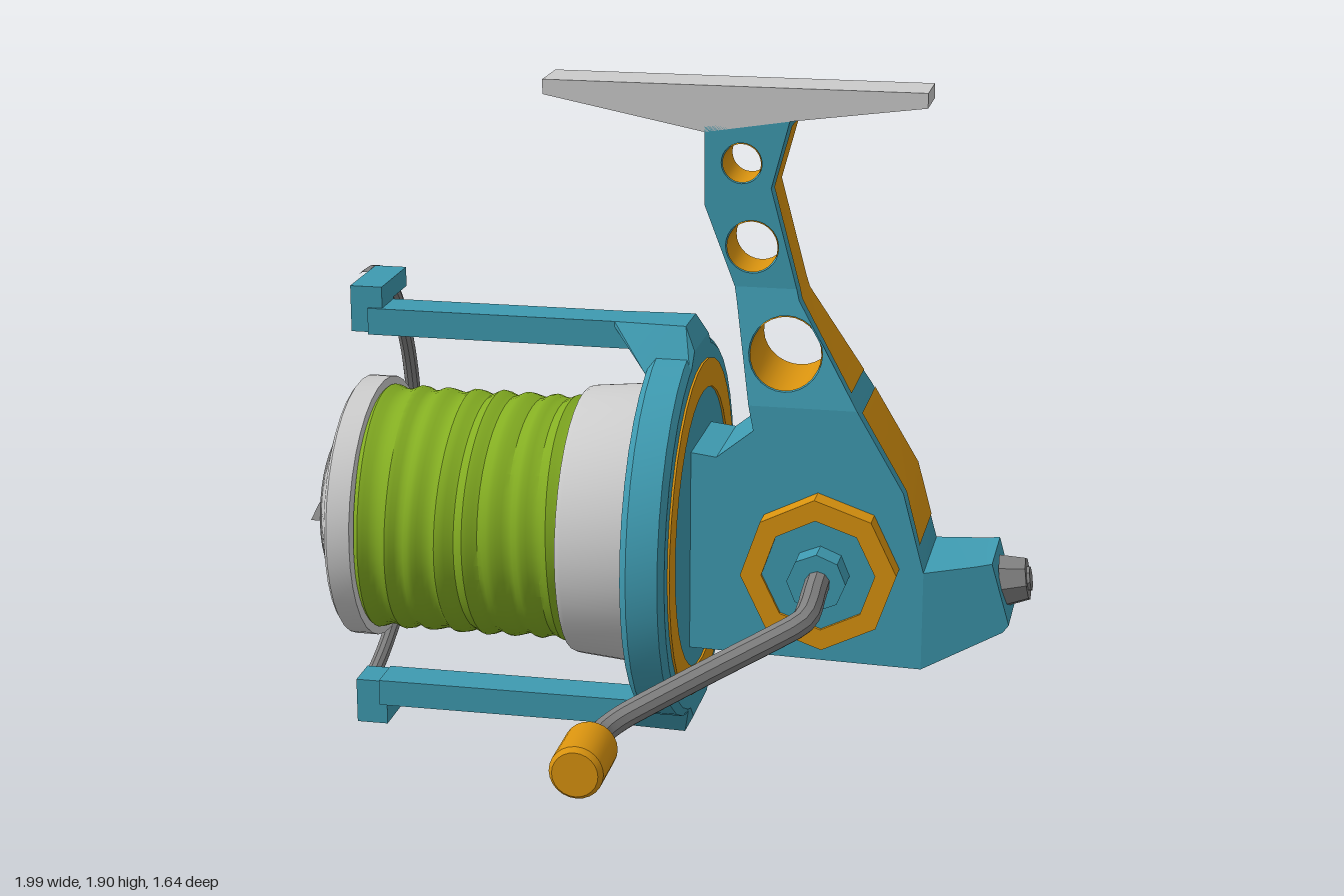
import * as THREE from 'three';
import { toCreasedNormals } from 'three/addons/utils/BufferGeometryUtils.js';
import { ConvexGeometry } from 'three/addons/geometries/ConvexGeometry.js';

const ZC = -0.142; // centre plane of the body
const YC = 0.65;   // height of the spool axis

const mat = (color) => new THREE.MeshStandardMaterial({ color });
const teal = mat(0x3e9ab0), orange = mat(0xd9930f), green = mat(0x84ae22);
const pale = mat(0xcccccc), steel = mat(0x808080);
const orangeThin = mat(0xd9930f);
orangeThin.side = THREE.DoubleSide;

// Half thickness of the body at a point of its side profile
function halfWidth(x, y) {
  const lerp = THREE.MathUtils.mapLinear;
  let w = 0.075;
  if (y < 1.05) w = lerp(y, 0.34, 1.05, 0.16, 0.145);
  else if (y < 1.36) w = lerp(y, 1.05, 1.36, 0.145, 0.075);
  return w - Math.max(0, x - 0.72) * 0.22;
}

// Spread z = -0.5 / 0.5 out to the body's side surfaces
function fitToBody(geo) {
  const p = geo.attributes.position;
  for (let i = 0; i < p.count; i++)
    p.setZ(i, ZC + Math.sign(p.getZ(i)) * halfWidth(p.getX(i), p.getY(i)));
  geo.computeVertexNormals();
  return geo;
}

function extrude(pts, depth, holes = []) {
  const shape = new THREE.Shape(pts.map((p) => new THREE.Vector2(...p)));
  for (const [x, y, r] of holes) {
    const path = new THREE.Path();
    path.absarc(x, y, r, 0, Math.PI * 2, true);
    shape.holes.push(path);
  }
  return new THREE.ExtrudeGeometry(shape, { depth, bevelEnabled: false, curveSegments: 14 })
    .translate(0, 0, -depth / 2);
}

// Revolved part around the spool axis, profile as [x, radius] with x rising
function turned(profile, segments = 36) {
  return new THREE.LatheGeometry(profile.map(([x, r]) => new THREE.Vector2(r, x)), segments)
    .rotateZ(-Math.PI / 2).translate(0, YC, ZC);
}

function tube(pts, r, segments, tension = 0.5) {
  const curve = new THREE.CatmullRomCurve3(pts.map((p) => new THREE.Vector3(...p)), false, 'catmullrom', tension);
  return new THREE.TubeGeometry(curve, segments, r, 10);
}

const box = (x0, x1, y0, y1, z0, z1) => new THREE.BoxGeometry(x1 - x0, Math.abs(y1 - y0), z1 - z0)
  .translate((x0 + x1) / 2, (y0 + y1) / 2, (z0 + z1) / 2);

// Ribbon lying on the rear edge of the stem
function rearPanel(edge, inset) {
  const pos = [], index = [];
  edge.forEach(([x, y], i) => {
    const w = halfWidth(x, y) - inset;
    pos.push(x + 0.006, y + 0.003, ZC - w, x + 0.006, y + 0.003, ZC + w);
    if (i) index.push(2 * i - 2, 2 * i - 1, 2 * i, 2 * i, 2 * i - 1, 2 * i + 1);
  });
  const geo = new THREE.BufferGeometry();
  geo.setAttribute('position', new THREE.Float32BufferAttribute(pos, 3));
  geo.setIndex(index);
  geo.computeVertexNormals();
  return geo;
}

export function createModel() {
  const model = new THREE.Group();
  const add = (name, geo, material, crease = 0.6) => {
    const mesh = new THREE.Mesh(toCreasedNormals(geo, crease), material);
    mesh.name = name;
    model.add(mesh);
    return mesh;
  };

  // Mounting foot
  add('foot', extrude([[-0.34, 1.9], [-0.34, 1.86], [0.1, 1.775], [0.33, 1.812], [0.69, 1.86], [0.69, 1.9]], 0.15)
    .translate(0, 0, ZC), pale);

  // Body, tail and stem
  const holes = [[0.2, 1.695, 0.055], [0.23, 1.47, 0.072], [0.33, 1.19, 0.1]];
  add('body', fitToBody(extrude([[0.07, 0.35], [0.72, 0.335], [0.72, 0.61], [0.66, 0.83], [0.53, 1.05],
    [0.236, 1.05], [0.25, 0.98], [0.15, 0.9], [0.07, 0.91]], 1)), teal, 0.3);
  add('tail', fitToBody(extrude([[0.72, 0.335], [0.935, 0.44], [0.95, 0.46], [0.9, 0.635], [0.86, 0.628],
    [0.72, 0.61]], 1)), teal, 0.3);
  add('lowerStem', fitToBody(extrude([[0.236, 1.05], [0.53, 1.05], [0.36, 1.33], [0.352, 1.36], [0.184, 1.36],
    [0.19, 1.33]], 1, holes.slice(2))), teal, 0.3);
  add('upperStem', fitToBody(extrude([[0.184, 1.36], [0.352, 1.36], [0.28, 1.63], [0.33, 1.82], [0.1, 1.79],
    [0.1, 1.58]], 1, holes.slice(0, 2))), teal, 0.3);
  for (const [x, y, r] of holes) {
    add('holeLining', fitToBody(new THREE.CylinderGeometry(r - 0.003, r - 0.003, 1, 28, 1, true)
      .rotateX(Math.PI / 2).translate(x, y, 0)), orangeThin);
  }
  add('upperRearPanel', rearPanel([[0.505, 1.09], [0.36, 1.33], [0.352, 1.36], [0.28, 1.63], [0.325, 1.795]], 0.014), orangeThin);
  add('lowerRearPanel', rearPanel([[0.7, 0.68], [0.66, 0.83], [0.536, 1.04]], 0.016), orangeThin);

  // Tail bolt
  const bolt = add('tailBolt', new THREE.CylinderGeometry(0.06, 0.075, 0.07, 8).rotateZ(-Math.PI / 2), steel);
  bolt.position.set(0.955, 0.555, ZC);
  bolt.rotation.z = 0.15;
  const boltTip = add('tailBoltTip', new THREE.CylinderGeometry(0.035, 0.035, 0.02, 8).rotateZ(-Math.PI / 2), steel);
  boltTip.position.set(0.988, 0.56, ZC);
  boltTip.rotation.z = 0.15;

  // Rotor disc with its ring
  add('rotor', turned([[-0.04, 0], [-0.04, 0.51], [-0.02, 0.53], [0.065, 0.53], [0.08, 0.51], [0.08, 0]]), teal);
  add('rotorRing', turned([[0.07, 0.39], [0.07, 0.47], [0.086, 0.47], [0.086, 0.39], [0.07, 0.39]]), orange);

  // Rotor arms, mirrored above and below the axis
  for (const s of [1, -1]) {
    const y = (d) => YC + s * d;
    const dx = s > 0 ? 0 : -0.02;
    add('rotorArm', box(-0.85, 0.04, y(0.515), y(0.59), ZC - 0.058, ZC + 0.058), teal);
    add('armHook', box(-0.9 + dx, -0.81 + dx, y(0.52), y(0.65), ZC - 0.058, ZC + 0.05), teal);
    add('hookTab', box(-0.9 + dx, -0.81 + dx, y(0.595), y(0.65), -0.33, ZC), teal);
    const pts = [];
    for (const m of [1, -1]) {
      for (const [x, d, w] of [[-0.15, 0.59, 0.058], [-0.15, 0.575, 0.058], [-0.04, 0.515, 0.1],
        [-0.04, 0.47, 0.16], [0.05, 0.59, 0.07], [0.08, 0.53, 0.1], [0.08, 0.47, 0.16]])
        pts.push(new THREE.Vector3(x, y(d), ZC + m * w));
    }
    add('armRoot', new ConvexGeometry(pts), teal, 0.2);
  }

  // Bail wire
  add('bailWire', tube([[-0.91, 1.275, -0.26], [-0.91, 1.275, -0.34], [-0.915, 1.235, -0.46], [-0.925, 1.13, -0.6],
    [-0.93, 0.96, -0.72], [-0.935, 0.76, -0.79], [-0.935, 0.57, -0.79], [-0.94, 0.38, -0.74], [-0.945, 0.19, -0.62],
    [-0.95, 0.09, -0.48], [-0.95, 0.04, -0.34], [-0.94, 0.035, -0.26]], 0.023, 48), steel);

  // Spool
  add('spoolSkirt', turned([[-0.25, 0], [-0.25, 0.37], [-0.235, 0.376], [-0.03, 0.395], [-0.03, 0]]), pale);
  add('spoolFlange', turned([[-0.957, 0], [-0.957, 0.2], [-0.9, 0.355], [-0.89, 0.368], [-0.825, 0.368], [-0.825, 0]]), pale);
  add('dragKnob', turned([[-0.962, 0], [-0.962, 0.2], [-0.94, 0.2]]), steel);
  add('dragKnobGrip', extrude([[-0.2, 0], [0.2, 0], [0.13, 0.024], [0, 0.038], [-0.13, 0.024]], 0.055)
    .rotateX(-Math.PI / 2).rotateZ(Math.PI / 2).rotateX(Math.PI / 2).translate(-0.96, YC + 0.01, ZC), steel);

  // Wound line with uneven ridges
  let seed = 7;
  const rand = () => (seed = (seed * 16807) % 2147483647) / 2147483647;
  const rows = 44, profile = [[-0.83, 0.3]];
  for (let i = 0; i <= rows; i++)
    profile.push([-0.828 + (i / rows) * 0.585, 0.338 + 0.006 * Math.sin(i * 1.1) + 0.005 * (rand() - 0.5)]);
  const line = turned(profile, 48);
  const p = line.attributes.position;
  for (let i = 0; i < p.count; i++) {
    const a = Math.atan2(p.getZ(i) - ZC, p.getY(i) - YC);
    p.setX(i, THREE.MathUtils.clamp(p.getX(i) + 0.006 * Math.sin(2 * a + p.getX(i) * 9), -0.832, -0.238));
  }
  line.computeVertexNormals();
  add('woundLine', line, green);

  // Side cap and nut
  const octagon = (r) => Array.from({ length: 8 }, (_, i) =>
    [0.442 + r * Math.cos(i * Math.PI / 4 + 0.06), 0.605 + r * Math.sin(i * Math.PI / 4 + 0.06)]);
  const ring = new THREE.Shape(octagon(0.213).map((q) => new THREE.Vector2(...q)));
  ring.holes.push(new THREE.Path(octagon(0.155).reverse().map((q) => new THREE.Vector2(...q))));
  add('sideCapRing', new THREE.ExtrudeGeometry(ring, { depth: 0.075, bevelEnabled: false }), orange);
  add('sideCap', extrude(octagon(0.156), 0.07).translate(0, 0, 0.03), teal);
  add('crankNut', new THREE.CylinderGeometry(0.08, 0.08, 0.08, 8).rotateX(Math.PI / 2).translate(0.447, 0.607, 0.1), teal);

  // Crank and knob
  add('crank', tube([[0.45, 0.607, 0.12], [0.455, 0.607, 0.24], [0.46, 0.605, 0.34], [0.44, 0.583, 0.395],
    [0.22, 0.46, 0.447], [0.01, 0.34, 0.497], [-0.045, 0.308, 0.55], [-0.055, 0.303, 0.66]], 0.034, 40, 0.3), steel);
  add('crankKnob', new THREE.LatheGeometry([[0, 0], [0.06, 0], [0.071, 0.015], [0.071, 0.18], [0.06, 0.195], [0, 0.195]]
    .map((q) => new THREE.Vector2(...q)), 24).rotateX(Math.PI / 2).translate(-0.055, 0.303, 0.63), orange);

  return model;
}
